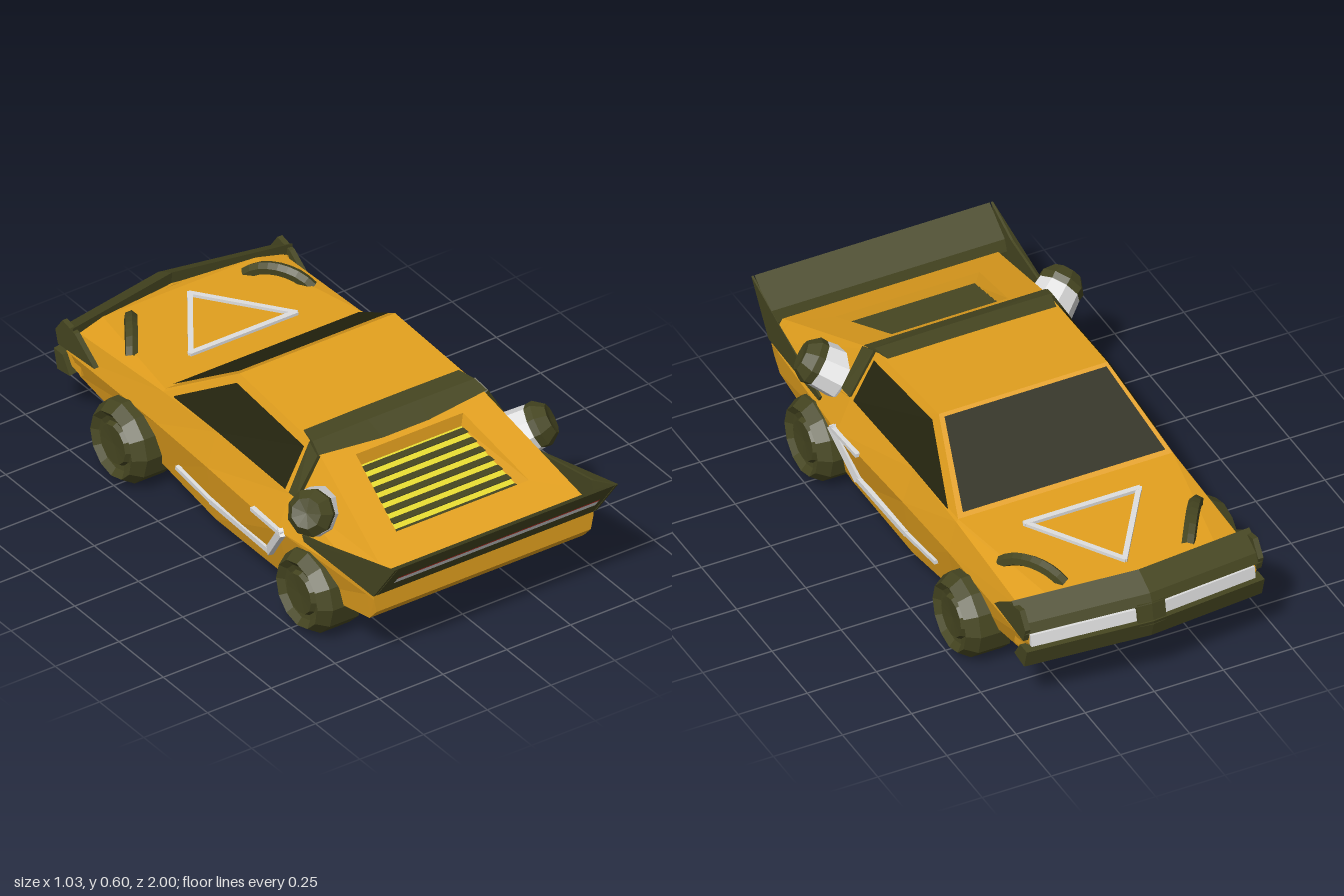
import * as THREE from 'three';

const paint = (color) => new THREE.MeshStandardMaterial({ color, flatShading: true, side: THREE.DoubleSide });
const mats = {
  orange: paint(0xe3a01e), olive: paint(0x464621), glass: paint(0x25250f),
  silver: paint(0xdedede), yellow: paint(0xe6da30), red: paint(0xd03428),
};
const V = (x, y, z) => new THREE.Vector3(x, y, z);
const lerp = THREE.MathUtils.lerp;

export function createModel() {
  const car = new THREE.Group();
  const add = (name, geo, mat) => {
    const m = new THREE.Mesh(geo, mats[mat]);
    m.name = name;
    car.add(m);
    return m;
  };

  const fromTriangles = (tris) => {
    const g = new THREE.BufferGeometry().setFromPoints(tris.flat());
    g.computeVertexNormals();
    return g;
  };
  const fan = (p) => p.slice(2).map((_, i) => [p[0], p[i + 1], p[i + 2]]);
  // separate flat polygons
  const polygons = (list) => fromTriangles(list.flatMap(fan));
  // skin over matching closed rings with end caps, turned outward; keep(i, j) picks strips
  const solid = (rings, keep = () => true, caps = true) => {
    const all = [], kept = [];
    const push = (p, k) => fan(p).forEach((t) => { all.push(t); if (k) kept.push(t); });
    for (let i = 0; i < rings.length - 1; i++) {
      const a = rings[i], b = rings[i + 1];
      a.forEach((_, j) => {
        const n = (j + 1) % a.length;
        push([a[j], b[j], b[n], a[n]], keep(i, j));
      });
    }
    push(rings[0], caps);
    push([...rings.at(-1)].reverse(), caps);
    const volume = all.reduce((s, [a, b, c]) => s + a.dot(b.clone().cross(c)), 0);
    return fromTriangles(volume < 0 ? kept.map(([a, b, c]) => [a, c, b]) : kept);
  };
  // [z, y] outline swept across x stations [x, dz, dy]
  const sweep = (outline, stations) =>
    solid(stations.map(([x, dz = 0, dy = 0]) => outline.map(([z, y]) => V(x, y + dy, z + dz))));
  // square rod between two points
  const rod = (name, a, b, w, h, mat) => {
    const m = add(name, new THREE.BoxGeometry(w, h, a.distanceTo(b) + w * 0.6), mat);
    m.position.copy(a).lerp(b, 0.5);
    m.lookAt(b);
  };

  // body stations: z, then [x, y] of floor edge, belt, shoulder, top edge
  const stations = [
    [0.87, [0.42, 0.235], [0.43, 0.285], [0.43, 0.31], [0.39, 0.375]],
    [0.83, [0.42, 0.19], [0.43, 0.285], [0.43, 0.32], [0.384, 0.39]],
    [0.36, [0.40, 0.07], [0.455, 0.285], [0.405, 0.405], [0.315, 0.57]],
    [-0.07, [0.40, 0.07], [0.435, 0.285], [0.395, 0.405], [0.305, 0.598]],
    [-0.37, [0.39, 0.105], [0.425, 0.285], [0.395, 0.395], [0.388, 0.405]],
    [-0.85, [0.39, 0.19], [0.42, 0.28], [0.40, 0.365], [0.30, 0.385]],
    [-0.91, [0.39, 0.25], [0.415, 0.285], [0.415, 0.30], [0.30, 0.37]],
  ];
  const rings = stations.map(([z, ...p]) => [
    ...p.map(([x, y]) => V(x, y, z)), ...[...p].reverse().map(([x, y]) => V(-x, y, z)),
  ]);
  const isFloor = (i, j) => j === 7 && i > 0 && i < 5;
  add('body', solid(rings, (i, j) => !isFloor(i, j) && !(j === 3 && i === 1)), 'orange');
  add('underside', solid(rings, isFloor, false), 'silver');

  // half width of the body side at a given z and y
  const sideX = (z, y) => {
    let i = 0;
    while (i < stations.length - 2 && z < stations[i + 1][0]) i++;
    const a = stations[i], b = stations[i + 1], t = (a[0] - z) / (a[0] - b[0]);
    const p = [1, 2, 3, 4].map((k) => [lerp(a[k][0], b[k][0], t), lerp(a[k][1], b[k][1], t)]);
    let k = 0;
    while (k < 2 && y > p[k + 1][1]) k++;
    return lerp(p[k][0], p[k + 1][0], (y - p[k][1]) / (p[k + 1][1] - p[k][1]));
  };

  // engine deck with a recessed bay
  const row = (x, y, z) => [V(-x, y, z), V(x, y, z)];
  const loop = (a, b) => [a[0], b[0], b[1], a[1]];
  const outer = loop(row(0.315, 0.57, 0.36), row(0.384, 0.39, 0.83));
  const rim = loop(row(0.21, 0.535, 0.45), row(0.26, 0.42, 0.75));
  const floor = loop(row(0.20, 0.49, 0.455), row(0.24, 0.38, 0.74));
  const band = (a, b) => a.map((_, i) => [a[i], a[(i + 1) % 4], b[(i + 1) % 4], b[i]]);
  add('engineDeck', polygons([...band(outer, rim), ...band(rim, floor)]), 'orange');
  add('engineBayFloor', polygons([floor]), 'yellow');
  for (let i = 0; i < 7; i++) {
    const t = (i + 0.5) / 7;
    add('engineSlat', new THREE.BoxGeometry(lerp(0.40, 0.48, t), 0.003, 0.031), 'olive')
      .position.set(0, lerp(0.494, 0.384, t), lerp(0.455, 0.74, t));
  }

  // windscreen
  add('windscreen', polygons([[V(-0.293, 0.595, -0.087), V(0.293, 0.595, -0.087),
    V(0.366, 0.419, -0.361), V(-0.366, 0.419, -0.361)]]), 'glass');

  // roof band
  add('roofBand', solid([
    [[0.305, 0.577, 0.29], [0.318, 0.577, 0.36], [0.33, 0.557, 0.413]],
    [[0.1, 0.579, 0.29], [0.1, 0.579, 0.36], [0.09, 0.543, 0.43]],
    [[-0.1, 0.579, 0.29], [-0.1, 0.579, 0.36], [-0.09, 0.543, 0.43]],
    [[-0.305, 0.577, 0.29], [-0.318, 0.577, 0.36], [-0.33, 0.557, 0.413]],
  ].map((r) => r.map((p) => V(...p)))), 'olive');

  // rear spoiler and its lamp strips
  add('rearSpoiler', sweep([[1, 0.475], [0.877, 0.305], [0.877, 0.36], [0.892, 0.4]], [[0.425], [-0.425]]), 'olive');
  const strip = (name, y0, y1, mat) => {
    const at = (y) => row(0.395, y - 0.003, 0.877 + (y - 0.305) * 0.7235 + 0.004);
    add(name, polygons([loop(at(y1), at(y0))]), mat);
  };
  strip('tailLamp', 0.375, 0.402, 'silver');
  strip('brakeStrip', 0.402, 0.41, 'red');

  // nose, bumper bars and centre post
  const chevron = [[0.43, 0.06, -0.02], [0, 0, 0], [-0.43, 0.06, -0.02]];
  const narrow = [[0.41, 0.057, -0.015], [0, 0, 0], [-0.41, 0.057, -0.015]];
  add('nose', sweep([[-0.88, 0.38], [-0.955, 0.36], [-0.955, 0.25], [-0.87, 0.23]], narrow), 'orange');
  add('upperBumper', sweep([[-0.89, 0.42], [-0.97, 0.378], [-0.985, 0.345], [-0.9, 0.34]], chevron), 'olive');
  add('lowerBumper', sweep([[-0.95, 0.285], [-1, 0.285], [-0.98, 0.215], [-0.91, 0.225]], chevron), 'olive');
  const post = [[-0.94, 0.355], [-0.983, 0.35], [-0.997, 0.27], [-0.94, 0.27]];
  add('centrePost', sweep(post, [[0.05, 0.007], [0, 0], [-0.05, 0.007]]), 'olive');

  // parts on both sides
  for (const s of [1, -1]) {
    const at = (z, y, out) => V(s * (sideX(z, y) + out), y, z);
    const w = [[0.335, 0.412, 0.55], [-0.06, 0.412, 0.574], [-0.31, 0.408, 0.412]]
      .map(([z, a, b]) => [at(z, a, 0.007), at(z, b, 0.007)]);
    add('sideWindow', polygons([0, 1].map((i) => {
      const q = [w[i][0], w[i + 1][0], w[i + 1][1], w[i][1]];
      return s > 0 ? q : q.reverse();
    })), 'glass');

    add('roofBandLeg', solid([
      [[0.31, 0.565, 0.352], [0.325, 0.575, 0.352], [0.335, 0.555, 0.413], [0.31, 0.54, 0.413]],
      [[0.38, 0.41, 0.358], [0.41, 0.412, 0.358], [0.415, 0.418, 0.406], [0.38, 0.415, 0.406]],
    ].map((r) => r.map(([x, y, z]) => V(s * x, y, z)))), 'olive');

    // thin spoiler end plate, flaring with the body side
    add('spoilerSide', solid([0.437, 0.429].map((x) =>
      [[1, 0.475], [0.86, 0.415], [0.49, 0.335], [0.5, 0.315], [0.877, 0.305]]
        .map(([z, y]) => V(s * (x + Math.max(0, 0.9 - z) * 0.03), y, z)))), 'olive');
    add('bumperSide', sweep([[-0.71, 0.31], [-0.82, 0.385], [-0.89, 0.4], [-0.93, 0.345], [-0.915, 0.295]],
      [[s * 0.431], [s * 0.412]]), 'olive');
    add('headlamp', sweep([[-0.95, 0.326], [-0.975, 0.326], [-0.982, 0.285], [-0.95, 0.285]],
      [[s * 0.405, 0.057, -0.016], [s * 0.05, 0.007, 0]]), 'silver');

    // side trim
    const path = [[0.22, 0.288], [0.385, 0.288], [0.27, 0.145], [-0.06, 0.15], [-0.26, 0.168]]
      .map(([z, y]) => at(z, y, 0.004));
    [0.014, 0.03, 0.019, 0.014].forEach((h, i) => rod('sideTrim', path[i], path[i + 1], 0.02, h, 'silver'));

    // hood triangle side and hood handle
    rod('hoodTrim', V(0, 0.39, -0.79), V(s * 0.205, 0.402, -0.49), 0.018, 0.018, 'silver');
    const arch = new THREE.CatmullRomCurve3([V(s * 0.225, 0.38, -0.8), V(s * 0.25, 0.41, -0.765),
      V(s * 0.29, 0.424, -0.705), V(s * 0.33, 0.41, -0.645), V(s * 0.355, 0.38, -0.61)]);
    add('hoodHandle', new THREE.TubeGeometry(arch, 8, 0.023, 6), 'olive');

    // booster with cap
    const booster = (name, profile, mat) => {
      const m = add(name, new THREE.LatheGeometry(profile.map((p) => new THREE.Vector2(...p)), 9), mat);
      m.position.set(s * 0.385, 0.41, 0.5);
      m.quaternion.setFromUnitVectors(V(0, 1, 0), V(s * 0.75, 0.46, 0.46).normalize());
    };
    booster('boosterBody', [[0, -0.06], [0.066, -0.06], [0.086, -0.02], [0.078, 0.065], [0, 0.065]], 'silver');
    booster('boosterCap', [[0, 0.06], [0.077, 0.06], [0.08, 0.09], [0.052, 0.128], [0, 0.122]], 'olive');

    // wheels
    for (const z of [0.53, -0.52]) {
      const profile = [[0, 0.42], [0.11, 0.42], [0.125, 0.338], [0.145, 0.342], [0.145, 0.455], [0.118, 0.497],
        [0.095, 0.478], [0.078, 0.474], [0.07, 0.49], [0, 0.486]].map((p) => new THREE.Vector2(...p));
      const wheel = add(z > 0 ? 'rearWheel' : 'frontWheel', new THREE.LatheGeometry(profile, 12), 'olive');
      wheel.rotation.z = -s * Math.PI / 2;
      wheel.position.set(0, 0.145, z);
    }
  }
  rod('hoodTrimBase', V(-0.205, 0.402, -0.49), V(0.205, 0.402, -0.49), 0.02, 0.018, 'silver');

  return car;
}
